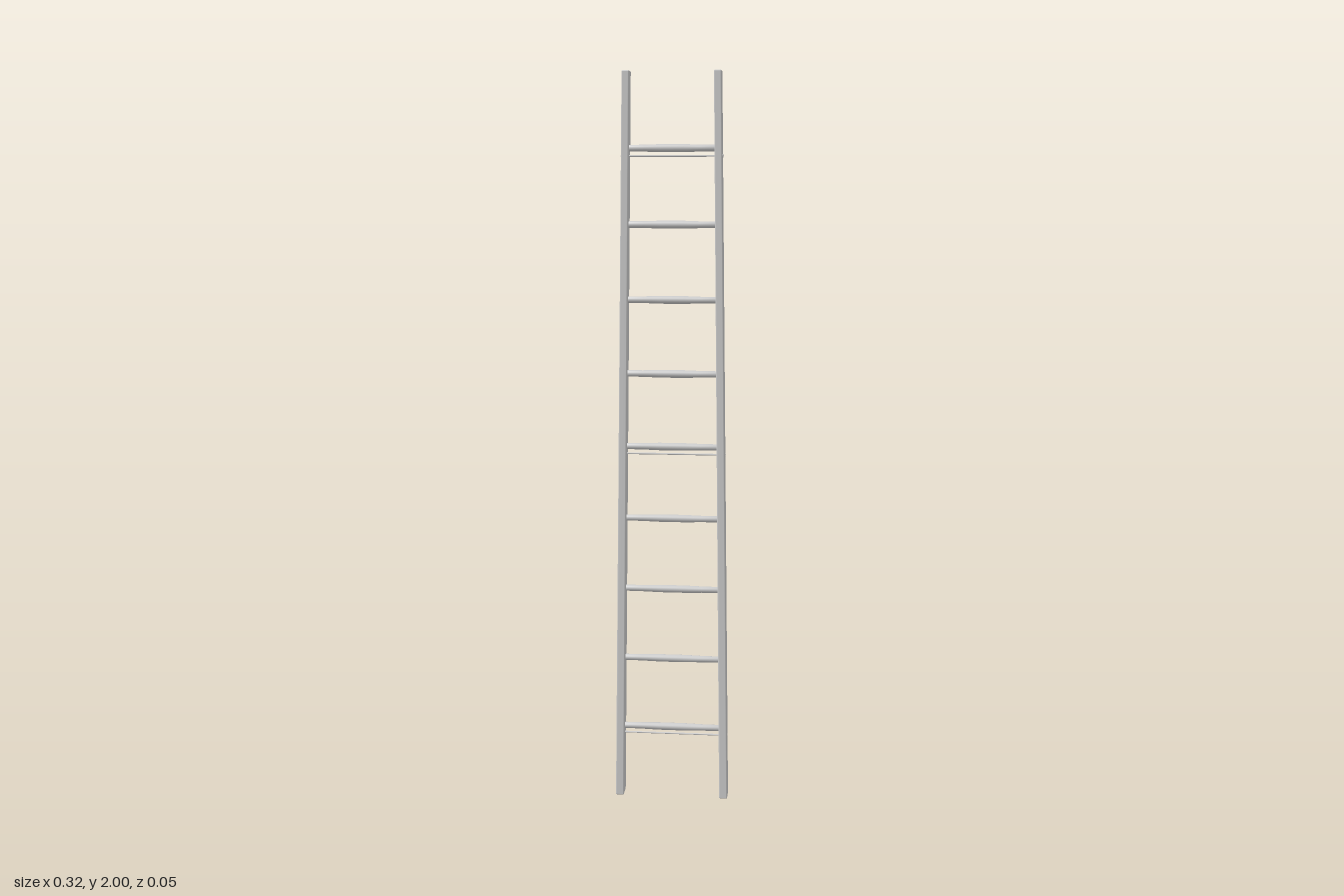
import * as THREE from 'three';
import { RoundedBoxGeometry } from 'three/addons/geometries/RoundedBoxGeometry.js';

const HEIGHT = 2;
// Centre line of the left rail: the ladder narrows towards the top
const railX = (y) => THREE.MathUtils.lerp(0.1465, 0.121, y / HEIGHT);

export function createModel() {
  const ladder = new THREE.Group();
  ladder.name = 'ladder';
  const grey = new THREE.MeshStandardMaterial({ color: 0xcccccc });
  grey.name = 'light grey';

  const add = (name, geometry, x = 0, y = 0) => {
    const mesh = new THREE.Mesh(geometry, grey);
    mesh.name = name;
    mesh.position.set(x, y, 0);
    ladder.add(mesh);
    return mesh;
  };

  // Side rails: rounded beams, sheared inwards and slightly thinner at the top
  for (const side of [1, -1]) {
    const geometry = new RoundedBoxGeometry(0.022, HEIGHT, 0.046, 2, 0.003);
    geometry.translate(0, HEIGHT / 2, 0);
    const p = geometry.attributes.position;
    for (let i = 0; i < p.count; i++) {
      const y = p.getY(i);
      const width = THREE.MathUtils.lerp(1.03, 0.88, y / HEIGHT);
      p.setX(i, p.getX(i) * width + side * railX(y));
    }
    add(side > 0 ? 'leftRail' : 'rightRail', geometry);
  }

  // Rungs: round bars, a little thicker in the middle
  for (let i = 1; i <= 9; i++) {
    const y = i * 0.2;
    const half = railX(y);
    const profile = [[0, -1], [0.0086, -1], [0.009, -0.6], [0.0105, -0.25],
      [0.0105, 0.25], [0.009, 0.6], [0.0086, 1], [0, 1]]
      .map(([r, t]) => new THREE.Vector2(r, t * half));
    const rung = add('rung', new THREE.LatheGeometry(profile, 12), 0, y);
    rung.rotation.z = Math.PI / 2;
  }

  // Thin tie rods below three rungs, with small heads outside the rails
  for (const y of [0.18, 0.98, 1.78]) {
    const half = railX(y) + 0.01;
    const rod = add('tieRod', new THREE.CylinderGeometry(0.0025, 0.0025, half * 2, 8), 0, y);
    rod.rotation.z = Math.PI / 2;
    for (const side of [1, -1]) {
      const head = add('tieRodHead', new THREE.SphereGeometry(0.005, 10, 6), side * half, y);
      head.scale.x = 0.6;
    }
  }
  return ladder;
}
